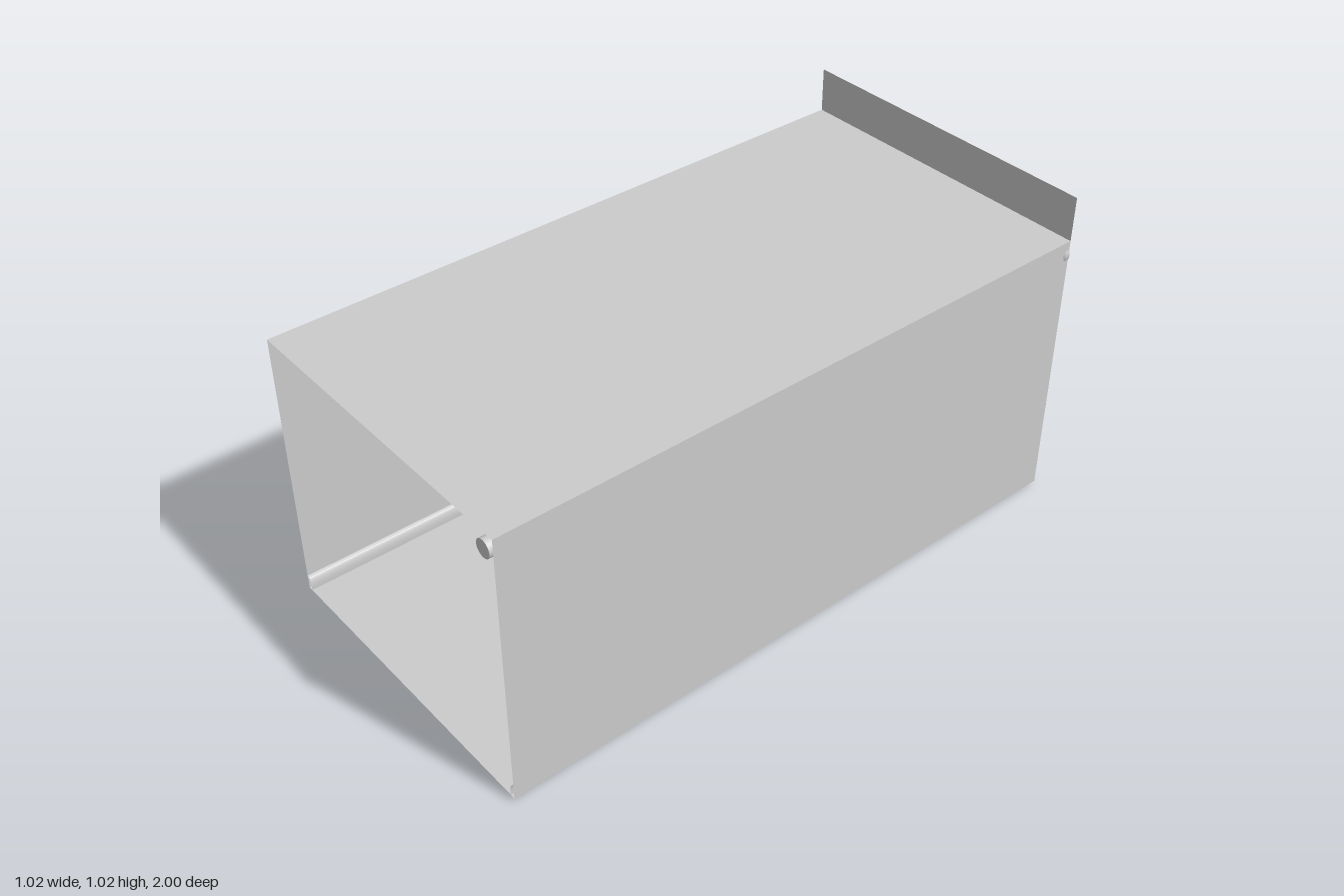
import * as THREE from 'three';

const X0 = -0.513, X1 = 0.507;      // side walls
const FLOOR = 0.01, CEILING = 0.885;
const BACK = -0.983, FRONT = 0.994;

export function createModel() {
  const group = new THREE.Group();
  const mat = new THREE.MeshStandardMaterial({ color: 0xcccccc, side: THREE.DoubleSide });
  const add = (name, geometry, x = 0, y = 0, z = 0) => {
    const mesh = new THREE.Mesh(geometry, mat);
    mesh.name = name;
    mesh.position.set(x, y, z);
    group.add(mesh);
    return mesh;
  };

  const length = FRONT - BACK, midZ = (FRONT + BACK) / 2;
  const width = X1 - X0, midX = (X0 + X1) / 2;
  const height = CEILING - FLOOR, midY = (CEILING + FLOOR) / 2;

  // Thin corridor shell
  for (const [name, y] of [['floor', FLOOR], ['ceiling', CEILING]])
    add(name, new THREE.PlaneGeometry(width, length).rotateX(-Math.PI / 2), midX, y, midZ);
  for (const [name, x] of [['rightWall', X0], ['leftWall', X1]])
    add(name, new THREE.PlaneGeometry(length, height).rotateY(Math.PI / 2), x, midY, midZ);

  // Arch outline: a rectangle with a doorway cut up from its bottom edge
  const arch = (l, r, top, bottom, il, ir, iTop) => new THREE.Shape([
    [l, bottom], [il, bottom], [il, iTop], [ir, iTop],
    [ir, bottom], [r, bottom], [r, top], [l, top],
  ].map(([x, y]) => new THREE.Vector2(x, y)));

  // End wall, rising above the ceiling
  add('endWall', new THREE.ShapeGeometry(
    arch(X0, X1, 1.025, FLOOR, -0.465, 0.459, 0.77)), 0, 0, BACK);

  // Stepped door frame on the outside of the end wall
  const extrude = (shape, depth) => new THREE.ExtrudeGeometry(shape, { depth, bevelEnabled: false });
  add('doorFrame', extrude(arch(-0.465, 0.459, 0.77, 0, -0.433, 0.427, 0.745), 0.011), 0, 0, -0.994);
  add('doorFrameMoulding', extrude(arch(-0.465, 0.459, 0.77, 0, -0.449, 0.443, 0.757), 0.006), 0, 0, -1);

  // Rounded baseboard sheet: profile in depth and height, swept along its run
  const baseboard = (name, run) => {
    const profile = new THREE.CatmullRomCurve3([
      [0, 0.055], [0.009, 0.051], [0.014, 0.04], [0.016, 0.026], [0.016, 0.01],
    ].map(([d, y]) => new THREE.Vector3(d, y, 0))).getPoints(12);
    const geometry = new THREE.PlaneGeometry(1, 1, 1, profile.length - 1);
    const pos = geometry.attributes.position;
    for (let i = 0; i < pos.count; i++) {
      const p = profile[Math.floor(i / 2)];
      pos.setXYZ(i, (i % 2 - 0.5) * run, p.y, p.x);
    }
    geometry.computeVertexNormals();
    return add(name, geometry);
  };
  for (const [side, x, turn] of [['right', X0, 1], ['left', X1, -1]]) {
    const board = baseboard(side + 'Baseboard', length);
    board.rotation.y = turn * Math.PI / 2;
    board.position.set(x, 0, midZ);
  }
  for (const [side, a, b] of [['right', X0, -0.465], ['left', 0.459, X1]])
    baseboard(side + 'EndBaseboard', b - a).position.set((a + b) / 2, 0, BACK);

  // Pipe under the ceiling with a rounded collar at the end wall
  const px = 0.474, py = 0.84;
  add('pipe', new THREE.CylinderGeometry(0.027, 0.027, 1 - BACK, 32).rotateX(Math.PI / 2),
    px, py, (1 + BACK) / 2);
  const collar = [[0.037, 0], [0.037, 0.012], [0.036, 0.017], [0.033, 0.022], [0.027, 0.025]]
    .map(([r, h]) => new THREE.Vector2(r, h));
  add('pipeCollar', new THREE.LatheGeometry(collar, 32).rotateX(Math.PI / 2), px, py, BACK);

  return group;
}
